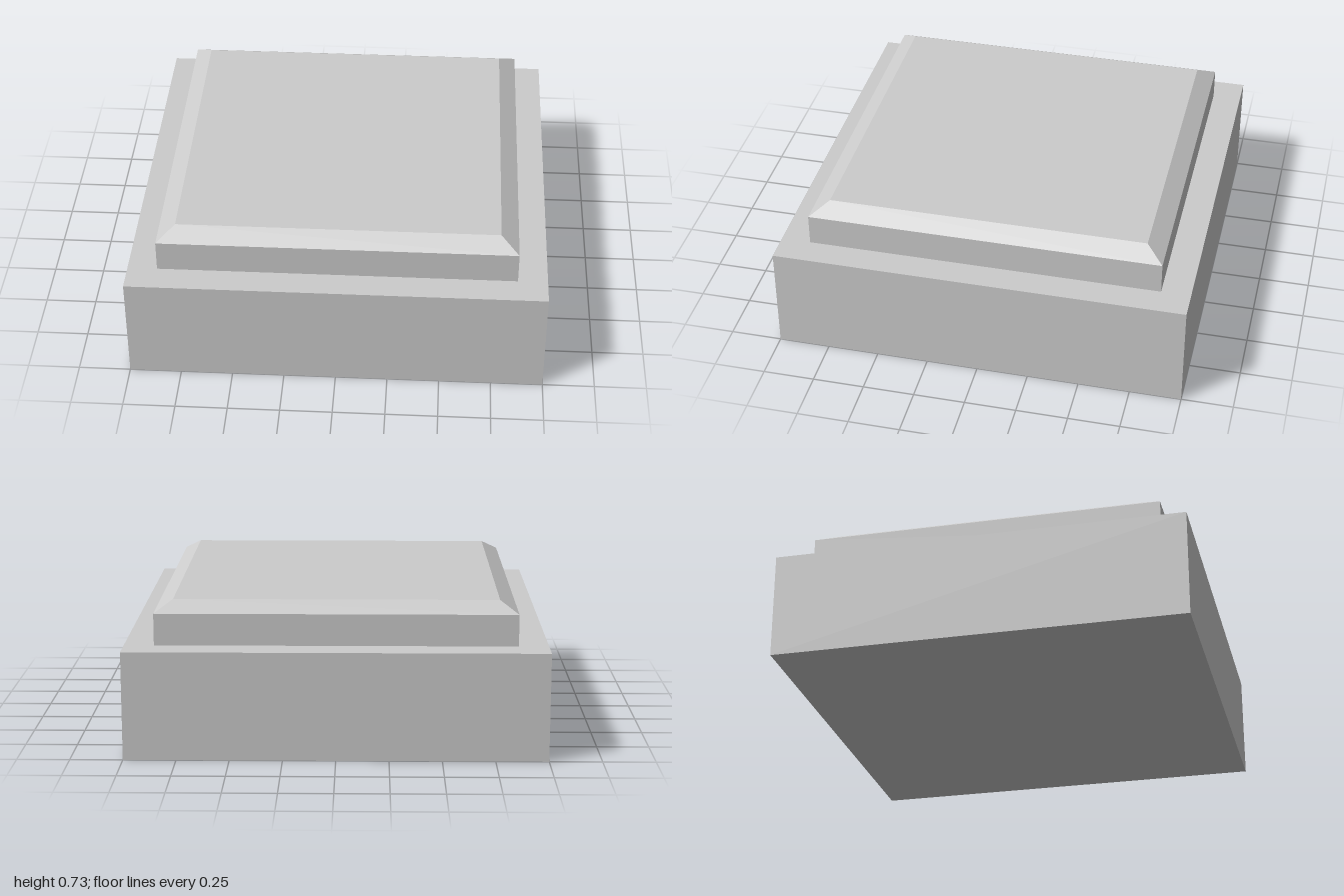
import * as THREE from 'three';

const material = new THREE.MeshStandardMaterial({ color: 0xcccccc, flatShading: true });

// Square solid from a profile of [half width, height] pairs, bottom to top
function squareSolid(name, profile) {
  const points = profile.map(([half, y]) => new THREE.Vector2(half * Math.SQRT2, y));
  const geometry = new THREE.LatheGeometry(points, 4, Math.PI / 4).toNonIndexed();
  geometry.computeVertexNormals();
  const mesh = new THREE.Mesh(geometry, material);
  mesh.name = name;
  return mesh;
}

export function createModel() {
  const model = new THREE.Group();
  model.name = 'squareButton';

  // Wide block standing on the ground
  const base = new THREE.Mesh(new THREE.BoxGeometry(2, 0.52, 2), material);
  base.name = 'base';
  base.position.y = 0.26;

  // Narrower raised plate with a bevelled top edge
  const cap = squareSolid('cap', [[0.858, 0.52], [0.858, 0.672], [0.772, 0.725], [0, 0.725]]);

  model.add(base, cap);
  return model;
}
